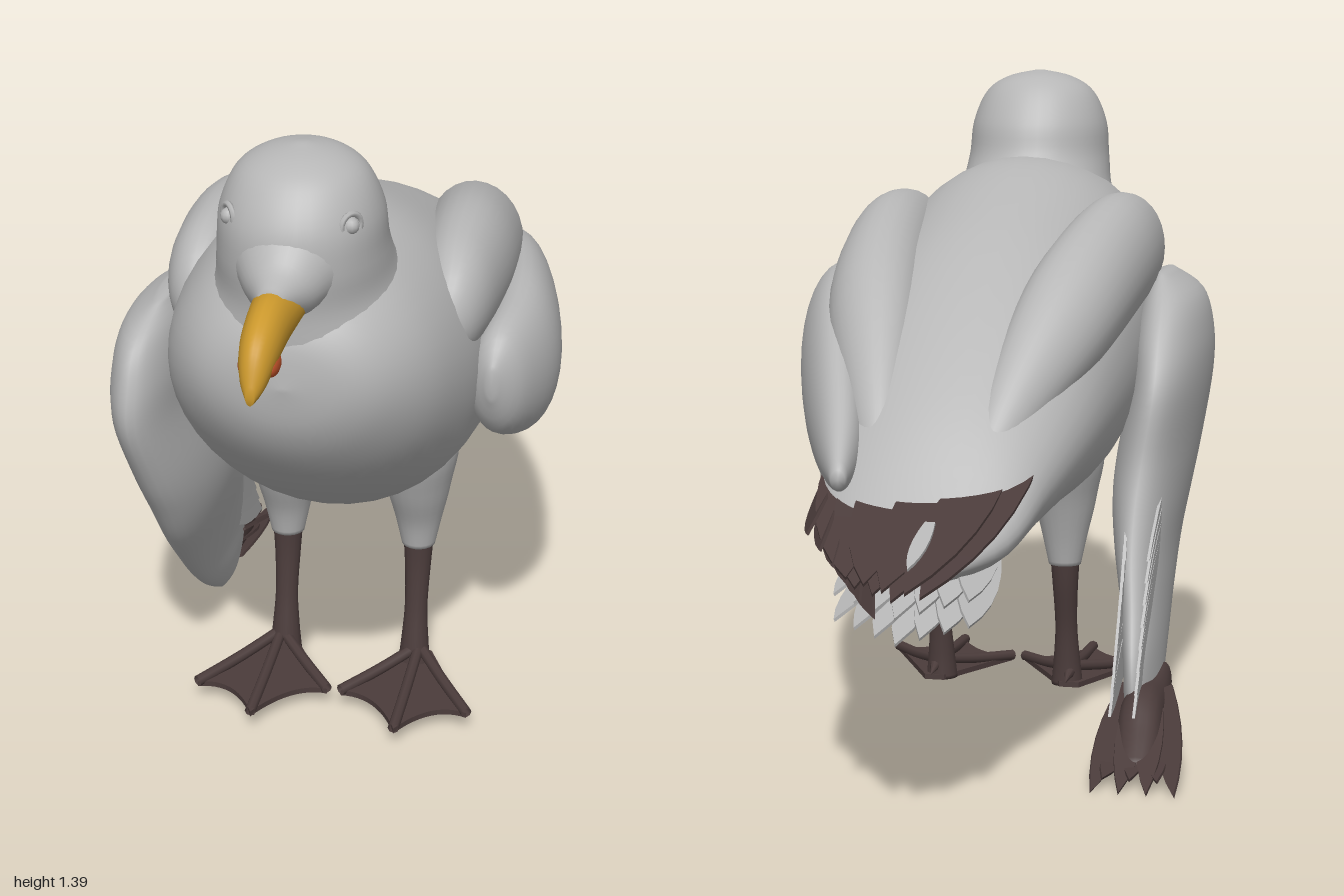
import * as THREE from 'three';

const material = (name, color, side = THREE.FrontSide) => {
  const m = new THREE.MeshStandardMaterial({ color, side });
  m.name = name;
  return m;
};

const MID = 0.02; // the bird's own centre line in x

// Smooth value between stations
function spline(rows, k, s) {
  const i = Math.min(Math.floor(s), rows.length - 2), f = s - i;
  const at = (j) => rows[Math.max(0, Math.min(rows.length - 1, j))][k];
  const [a, b, c, d] = [at(i - 1), at(i), at(i + 1), at(i + 2)];
  return b + 0.5 * f * (c - a + f * (2 * a - 5 * b + 4 * c - d + f * (3 * (b - c) + d - a)));
}

// Skin over ellipses. Axis z rows: [z, x, y, rx, ry]; axis y rows: [y, x, z, rx, rz]
function loft(axis, rows, sides = 28, steps = 5) {
  const n = (rows.length - 1) * steps, pos = [], idx = [];
  const put = (t, p, q) => (axis === 'z' ? pos.push(p, q, t) : pos.push(p, t, q));
  const flip = (axis === 'z') !== (rows[rows.length - 1][0] > rows[0][0]);
  const tri = (a, b, c) => (flip ? idx.push(a, c, b) : idx.push(a, b, c));
  for (let i = 0; i <= n; i++) {
    const [t, p, q, r1, r2] = [0, 1, 2, 3, 4].map((k) => spline(rows, k, i / steps));
    for (let j = 0; j < sides; j++) {
      const a = (j / sides) * Math.PI * 2;
      put(t, p + Math.cos(a) * Math.max(r1, 0.002), q + Math.sin(a) * Math.max(r2, 0.002));
    }
  }
  for (let i = 0; i < n; i++) for (let j = 0; j < sides; j++) {
    const a = i * sides + j, b = i * sides + ((j + 1) % sides);
    tri(a, b, b + sides);
    tri(a, b + sides, a + sides);
  }
  const first = rows[0], last = rows[rows.length - 1], c = pos.length / 3;
  put(first[0], first[1], first[2]);
  put(last[0], last[1], last[2]);
  for (let j = 0; j < sides; j++) {
    const k = (j + 1) % sides;
    tri(c, k, j);
    tri(c + 1, n * sides + j, n * sides + k);
  }
  const g = new THREE.BufferGeometry();
  g.setAttribute('position', new THREE.Float32BufferAttribute(pos, 3));
  g.setIndex(idx);
  g.computeVertexNormals();
  return g;
}

// Thin pointed feather from root to tip, flat side facing the normal
function feather(root, tip, half, normal) {
  const a = new THREE.Vector3(...root), dir = new THREE.Vector3(...tip).sub(a), len = dir.length();
  dir.normalize();
  const side = new THREE.Vector3().crossVectors(dir, new THREE.Vector3(...normal)).normalize();
  const up = new THREE.Vector3().crossVectors(side, dir);
  const s = new THREE.Shape();
  s.moveTo(-half * 0.5, 0);
  s.quadraticCurveTo(-half * 1.3, len * 0.6, 0, len);
  s.quadraticCurveTo(half * 1.3, len * 0.6, half * 0.5, 0);
  const g = new THREE.ExtrudeGeometry(s, { depth: 0.006, bevelEnabled: false, curveSegments: 6 });
  return g.applyMatrix4(new THREE.Matrix4().makeBasis(side, dir, up).setPosition(a));
}

export function createModel() {
  const bird = new THREE.Group();
  bird.name = 'bird';
  const plumage = material('pale grey plumage', 0xb6b6b6);
  const dark = material('dark brown', 0x4b3c3b, THREE.DoubleSide);
  const yellow = material('beak yellow', 0xcb982c);
  const red = material('beak spot red', 0xc0522a);
  const add = (name, geo, mat, parent = bird) => {
    const m = new THREE.Mesh(geo, mat);
    m.name = name;
    parent.add(m);
    return m;
  };

  // Body, neck and head
  const bodyRows = [ // z, top, bottom, half width
    [-0.76, 0.515, 0.475, 0.06], [-0.65, 0.62, 0.465, 0.18], [-0.5, 0.78, 0.475, 0.235],
    [-0.3, 0.94, 0.48, 0.285], [-0.1, 1.06, 0.465, 0.31], [0.1, 1.14, 0.46, 0.32],
    [0.3, 1.2, 0.5, 0.32], [0.45, 1.21, 0.57, 0.305], [0.6, 1.19, 0.68, 0.265],
    [0.7, 1.14, 0.79, 0.2], [0.75, 1.07, 0.88, 0.12], [0.765, 0.98, 0.97, 0.01],
  ].map(([z, t, b, w]) => [z, MID, (t + b) / 2, w, (t - b) / 2]);
  add('body', loft('z', bodyRows, 40), plumage);
  add('headAndNeck', loft('y', [
    [1.4, MID, 0.58, 0.01, 0.01], [1.385, MID, 0.58, 0.075, 0.075], [1.35, MID, 0.585, 0.125, 0.125],
    [1.28, MID, 0.585, 0.155, 0.17], [1.2, MID, 0.575, 0.163, 0.19], [1.12, MID, 0.53, 0.18, 0.225],
    [1.02, MID, 0.47, 0.24, 0.28], [0.9, MID, 0.44, 0.25, 0.28],
  ], 36), plumage);
  add('face', loft('z', [
    [0.5, MID, 1.25, 0.13, 0.11], [0.66, MID, 1.235, 0.128, 0.118], [0.74, MID, 1.2, 0.086, 0.086],
    [0.79, MID, 1.182, 0.052, 0.05], [0.84, MID, 1.186, 0.026, 0.024],
  ]), plumage);

  // Beak with a spot on each side of the lower half
  add('beak', loft('z', [
    [0.74, MID, 1.155, 0.052, 0.042], [0.85, MID, 1.152, 0.042, 0.054], [0.93, MID, 1.133, 0.036, 0.051],
    [0.975, MID, 1.105, 0.025, 0.043], [1.0, MID, 1.072, 0.008, 0.014],
  ], 20), yellow);
  for (const s of [-1, 1]) {
    const spot = add('beakSpot', new THREE.SphereGeometry(1, 12, 8), red);
    spot.scale.set(0.012, 0.02, 0.034);
    spot.position.set(MID + s * 0.026, 1.107, 0.925);

    // Eye with a low lid, set into the head
    const eye = new THREE.Group();
    eye.name = s > 0 ? 'leftEye' : 'rightEye';
    eye.position.set(MID + s * 0.115, 1.285, 0.688);
    eye.rotation.y = s * 0.9;
    add('eyeball', new THREE.SphereGeometry(0.016, 12, 8), plumage, eye);
    add('eyelid', new THREE.TorusGeometry(0.023, 0.006, 6, 18), plumage, eye);
    bird.add(eye);

    // Shoulder and scapular feathers
    const x = (d) => MID + s * d;
    add('shoulder', loft('z', [
      [-0.6, x(0.09), 0.62, 0.01, 0.01], [-0.45, x(0.135), 0.755, 0.055, 0.065], [-0.2, x(0.2), 0.91, 0.1, 0.12],
      [0.1, x(0.24), 1.0, 0.1, 0.135], [0.32, x(0.25), 1.015, 0.085, 0.122],
      [0.43, x(0.255), 1.0, 0.055, 0.085], [0.48, x(0.25), 0.98, 0.01, 0.015],
    ]), plumage);
  }

  // Folded left wing with its lower feather row
  add('foldedWing', loft('z', [
    [-0.66, 0.175, 0.655, 0.015, 0.02], [-0.5, 0.215, 0.69, 0.05, 0.09], [-0.3, 0.275, 0.74, 0.07, 0.15],
    [-0.1, 0.33, 0.79, 0.08, 0.18], [0.1, 0.37, 0.81, 0.085, 0.18], [0.25, 0.38, 0.825, 0.085, 0.155],
    [0.38, 0.365, 0.845, 0.06, 0.11], [0.43, 0.36, 0.86, 0.01, 0.03],
  ], 32), plumage);
  for (let i = 0; i < 6; i++) {
    add('foldedFlightFeather', feather([0.42 - i * 0.012, 0.73 - i * 0.006, 0.2 - i * 0.07],
      [0.37 - i * 0.022, 0.6 - i * 0.003, -0.1 - i * 0.065], 0.04, [1, 0.25, 0.2]), plumage);
  }

  // Dark wing tips crossed above the tail
  for (let i = 0; i < 8; i++) {
    const u = i / 7, x0 = -0.155 + u * 0.37;
    const tip = [-0.06 + 0.16 * u, 0.5 + 0.012 * (i % 2), -0.9 - 0.1 * (1 - 1.6 * Math.abs(u - 0.25))];
    add('darkWingTip', feather([x0, 0.675 - 0.003 * i, -0.47], tip, 0.07, [0, 1, -0.3]), dark);
  }
  for (let i = 0; i < 6; i++) {
    add('darkPrimary', feather([0.285 - i * 0.008, 0.615 - i * 0.005, -0.27 - i * 0.03],
      [0.2 - i * 0.035, 0.57 - i * 0.022, -0.78 - i * 0.035], 0.05, [1, 0.8, -0.2]), dark);
  }
  add('paleWingFleck', feather([-0.035, 0.6, -0.77], [-0.03, 0.545, -0.93], 0.02, [0, 1, -0.3]), plumage);

  // Pale tail fan in two layers
  for (let i = 0; i < 14; i++) {
    const u = (i % 7) / 3 - 1, h = i < 7 ? 0 : 0.05;
    add('tailFeather', feather([MID + u * 0.08, 0.495 + h, -0.4],
      [MID + u * 0.13, 0.375 + h + 0.03 * Math.abs(u), -0.83 + 0.05 * Math.abs(u)], 0.055, [u * 0.4, 1, -0.3]), plumage);
  }

  // Drooping right wing: y, x, front z, back z, half thickness
  const droop = [
    [0.97, -0.32, 0.4, 0.24, 0.015], [0.92, -0.34, 0.51, 0.12, 0.06], [0.84, -0.345, 0.56, 0.03, 0.08],
    [0.74, -0.345, 0.57, -0.03, 0.082], [0.6, -0.325, 0.51, -0.05, 0.085], [0.5, -0.315, 0.45, -0.08, 0.08],
    [0.4, -0.315, 0.38, -0.12, 0.065], [0.3, -0.325, 0.28, -0.17, 0.05], [0.2, -0.335, 0.17, -0.23, 0.04],
    [0.11, -0.34, 0.06, -0.24, 0.035], [0.05, -0.345, -0.03, -0.2, 0.028], [0.02, -0.345, -0.08, -0.14, 0.01],
  ].map(([y, x, f, b, r]) => [y, x, (f + b) / 2, r, (f - b) / 2]);
  add('droopingWing', loft('y', droop, 32), plumage);
  for (let i = 0; i < 8; i++) {
    const u = i / 7;
    for (const s of [-1, 1]) {
      add('droopingFlightFeather', feather([-0.33 + s * 0.05 * (1 - u * 0.5), 0.62 - u * 0.34, 0.2 - u * 0.2],
        [-0.33 + s * 0.025, 0.4 - u * 0.29, -0.13 - u * 0.18], 0.05, [1, 0, 0]), plumage);
    }
  }

  // Dark end of the drooping wing, spread along the ground
  add('droopingDarkTip', loft('z', [
    [-0.4, -0.37, 0.035, 0.03, 0.012], [-0.33, -0.365, 0.06, 0.042, 0.035], [-0.24, -0.358, 0.095, 0.046, 0.057],
    [-0.14, -0.362, 0.1, 0.04, 0.055], [-0.04, -0.373, 0.12, 0.02, 0.04], [0.0, -0.375, 0.13, 0.004, 0.01],
  ], 16), dark);
  for (let i = 0; i < 10; i++) {
    const u = i / 9;
    add('droopingDarkFeather', feather([-0.395 + u * 0.08, 0.13 - 0.035 * (i % 3), -0.15],
      [-0.465 + u * 0.17, 0.008 + 0.01 * (i % 3), -0.38 - 0.13 * Math.abs(Math.sin(i * 2.1 + 1.2))],
      0.036, [0.5 - u, 1, 0.2]), dark);
  }

  // Legs with feathered thighs and webbed feet
  const toes = [[-0.14, 0.17], [0.0, 0.29], [0.14, 0.2]];
  const web = new THREE.Shape();
  web.moveTo(-0.022, -0.03);
  web.lineTo(...toes[0]);
  web.quadraticCurveTo(-0.06, 0.16, ...toes[1]);
  web.quadraticCurveTo(0.06, 0.17, ...toes[2]);
  web.lineTo(0.022, -0.03);
  const webGeo = new THREE.ExtrudeGeometry(web, { depth: 0.012, bevelEnabled: false }).rotateX(Math.PI / 2);
  for (const s of [-1, 1]) {
    const x = MID + s * 0.145, leg = new THREE.Group();
    leg.name = s > 0 ? 'leftLeg' : 'rightLeg';
    bird.add(leg);
    add('thigh', loft('y', [
      [0.74, x - s * 0.03, 0.12, 0.06, 0.13], [0.6, x, 0.14, 0.085, 0.125], [0.48, x, 0.145, 0.07, 0.085],
      [0.39, x, 0.14, 0.05, 0.052], [0.325, x, 0.14, 0.036, 0.036],
    ], 20), plumage, leg);
    add('shank', loft('y', [
      [0.37, x, 0.14, 0.036, 0.032], [0.28, x, 0.145, 0.029, 0.027], [0.18, x, 0.16, 0.025, 0.023],
      [0.1, x, 0.17, 0.03, 0.028], [0.04, x, 0.175, 0.036, 0.034],
    ], 14), dark, leg);
    const foot = new THREE.Group();
    foot.name = 'foot';
    foot.position.set(x + s * 0.01, 0.052, 0.17);
    foot.scale.x = s;
    leg.add(foot);
    add('web', webGeo, dark, foot);
    for (const [tx, tz] of toes) {
      const path = new THREE.CatmullRomCurve3([new THREE.Vector3(0, 0.03, 0),
        new THREE.Vector3(tx * 0.5, 0.012, tz * 0.5), new THREE.Vector3(tx, 0.001, tz)]);
      add('toe', new THREE.TubeGeometry(path, 8, 0.012, 8), dark, foot);
    }
    const spur = add('hindToe', new THREE.ConeGeometry(0.013, 0.06, 8), dark, foot);
    spur.rotation.x = -Math.PI / 2 - 0.2;
    spur.position.set(0, 0.015, -0.045);
  }
  return bird;
}
